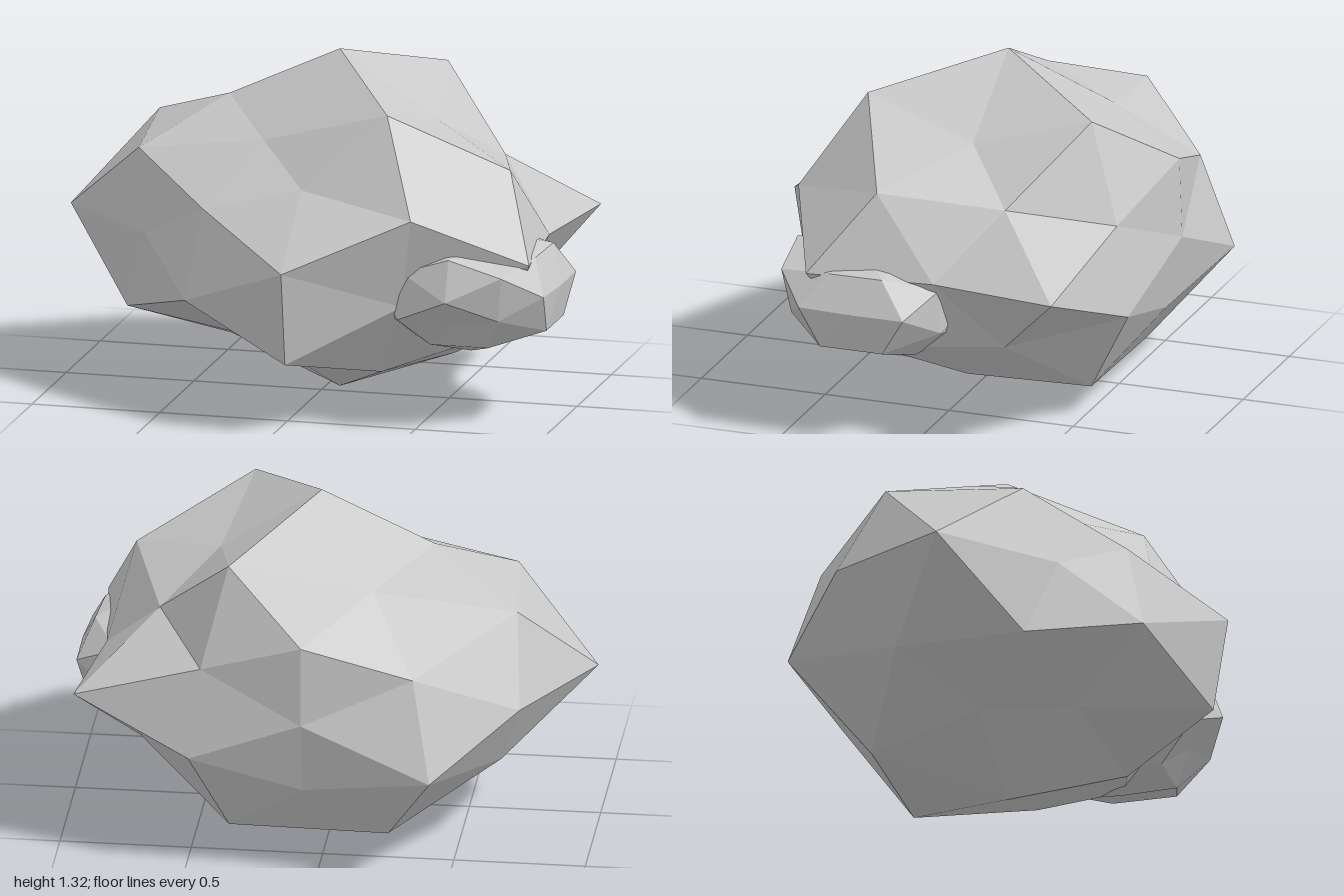
import * as THREE from 'three';

const SIGNS = [1, -1];

// All sign variants of a direction, in the order + before - for x, then y, then z
function variants([x, y, z]) {
  const out = [];
  for (const a of x ? SIGNS : [1])
    for (const b of y ? SIGNS : [1])
      for (const c of z ? SIGNS : [1]) out.push(new THREE.Vector3(a * x, b * y, c * z));
  return out;
}

// Families of directions of a once-subdivided icosahedron
const P = 0.5257, Q = 0.8507, A = 0.309, B = 0.5, C = 0.809;
const DIRECTIONS = [
  [1, 0, 0], [0, 1, 0], [0, 0, 1],
  [0, P, Q], [P, Q, 0], [Q, 0, P],
  [C, B, A], [B, A, C], [A, C, B],
].flatMap(variants);

// Faceted stone: each corner is pushed in or out along its own direction
function makeStone(name, material, center, scale, radii) {
  const geometry = new THREE.IcosahedronGeometry(1, 1);
  const pos = geometry.attributes.position;
  const v = new THREE.Vector3();
  for (let i = 0; i < pos.count; i++) {
    v.fromBufferAttribute(pos, i);
    const k = DIRECTIONS.findIndex((d) => d.dot(v) > 0.98);
    v.multiplyScalar(radii[k]);
    pos.setXYZ(i, v.x * scale[0], v.y * scale[1], v.z * scale[2]);
  }
  geometry.computeVertexNormals();
  const mesh = new THREE.Mesh(geometry, material);
  mesh.name = name;
  mesh.position.set(...center);
  return mesh;
}

export function createModel() {
  const group = new THREE.Group();
  group.name = 'boulders';
  const stone = new THREE.MeshStandardMaterial({ color: 0xc9c9c9, flatShading: true });
  stone.name = 'stone grey';

  // Large boulder
  group.add(makeStone('largeBoulder', stone, [0.052, 0.647, -0.073], [1, 0.674, 0.915], [
    0.82, 1.053, 0.996, 0.957, 0.944, 0.766,
    0.72, 0.886, 1.035, 0.82,
    0.73, 0.85, 0.82, 0.81,
    1.025, 1.044, 0.78, 0.947,
    0.91, 0.733, 0.92, 0.82, 0.89, 0.96, 0.94, 0.88,
    0.915, 0.79, 0.8, 0.87, 0.77, 0.836, 0.873, 0.985,
    0.99, 0.982, 0.87, 0.975, 0.695, 0.755, 0.72, 0.985,
  ]));

  // Small rock lodged in its side
  group.add(makeStone('smallRock', stone, [0.645, 0.53, 0.22], [0.405, 0.3, 0.405], [
    0.87, 0.9, 0.75, 0.93, 0.97, 0.9,
    0.98, 0.8, 0.75, 0.9,
    0.71, 0.62, 0.7, 0.9,
    0.98, 1.02, 0.9, 0.9,
    0.85, 0.89, 1, 1, 0.85, 0.85, 0.9, 0.9,
    1, 0.95, 0.9, 0.95, 0.95, 0.85, 1, 0.9,
    0.72, 0.7, 0.9, 0.9, 0.7, 0.7, 0.9, 0.9,
  ]));

  return group;
}
